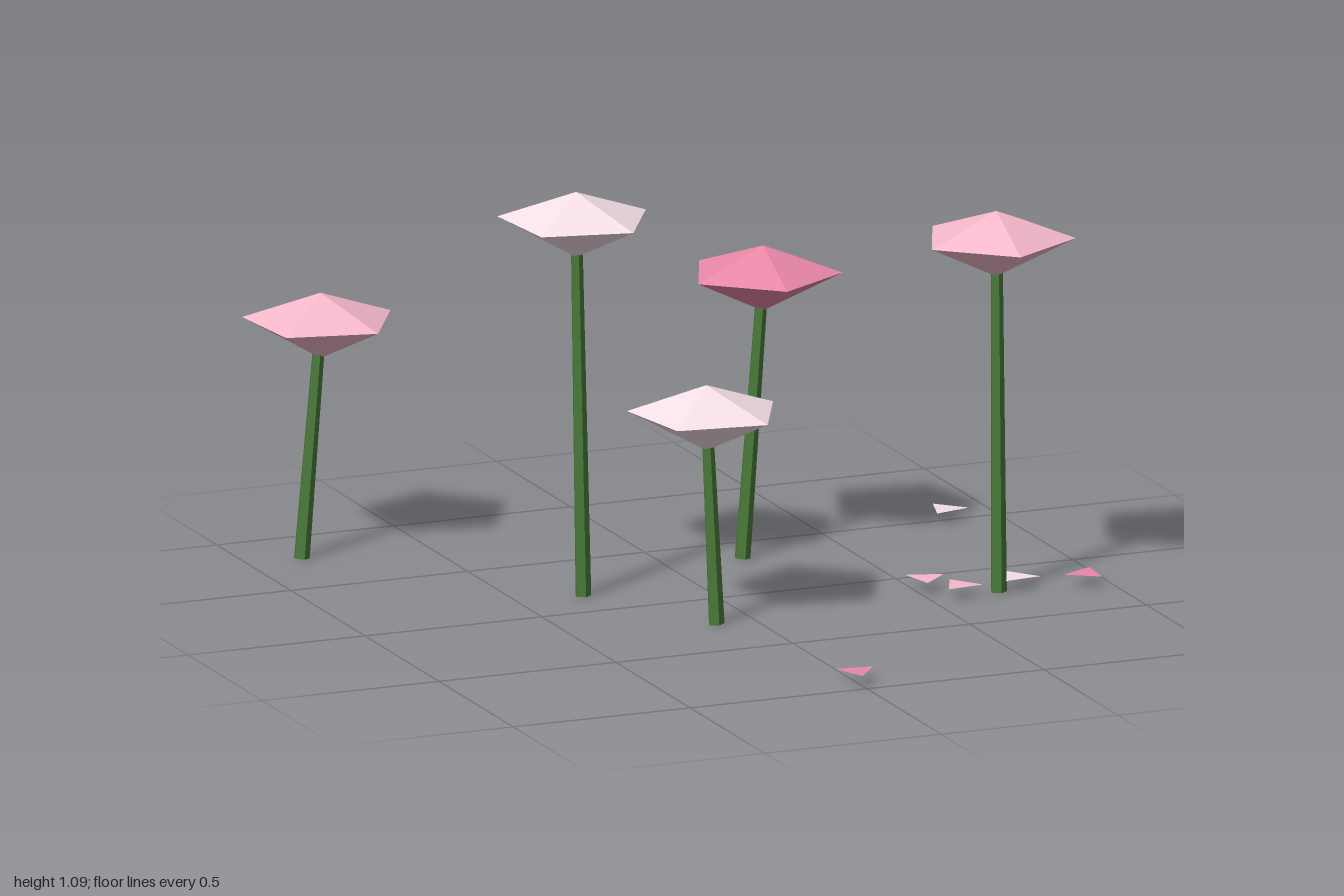
import * as THREE from 'three';

const PALE = 0xf4dfe6, PINK = 0xf4b8ca, DEEP = 0xe887a7, GREEN = 0x4a7a3a;
const rad = THREE.MathUtils.degToRad;

const mat = (color, side = THREE.FrontSide) =>
  new THREE.MeshStandardMaterial({ color, flatShading: true, side });

// Five-sided bloom: shallow dome over a deeper cup
const bloomGeometry = new THREE.LatheGeometry(
  [[0, -0.103], [0.207, 0], [0, 0.073]].map(([r, y]) => new THREE.Vector2(r, y)), 5);

// Straight stem between two points
function makeStem(from, to) {
  const dir = to.clone().sub(from);
  const stem = new THREE.Mesh(new THREE.CylinderGeometry(0.016, 0.022, dir.length(), 5), mat(GREEN));
  stem.name = 'stem';
  stem.position.copy(from).addScaledVector(dir, 0.5);
  stem.quaternion.setFromUnitVectors(new THREE.Vector3(0, 1, 0), dir.normalize());
  return stem;
}

function makeFlower({ base, head, turn, color }) {
  const flower = new THREE.Group();
  flower.name = 'flower';
  const centre = new THREE.Vector3(...head);
  const bloom = new THREE.Mesh(bloomGeometry, mat(color));
  bloom.name = 'bloom';
  bloom.position.copy(centre);
  bloom.rotation.y = rad(turn);
  const foot = new THREE.Vector3(base[0], 0.002, base[1]);
  flower.add(bloom, makeStem(foot, centre));
  return flower;
}

// Fallen petal: one flat triangle lying just above the ground
function makePetal([x, z, angle, color]) {
  const geometry = new THREE.CircleGeometry(0.059, 3).rotateX(-Math.PI / 2);
  const petal = new THREE.Mesh(geometry, mat(color, THREE.DoubleSide));
  petal.name = 'fallenPetal';
  petal.position.set(x, 0.033, z);
  petal.rotation.y = -rad(angle);
  return petal;
}

export function createModel() {
  const group = new THREE.Group();
  group.name = 'flowerPatch';

  const flowers = [
    { base: [-0.85, -0.787], head: [-0.79, 0.635, -0.8], turn: 95.6, color: PINK },
    { base: [-0.32, -0.153], head: [-0.335, 1.016, -0.164], turn: 95.6, color: PALE },
    { base: [-0.11, 0.245], head: [-0.135, 0.573, 0.238], turn: 100, color: PALE },
    { base: [0.21, -0.344], head: [0.273, 0.763, -0.353], turn: 139, color: DEEP },
    { base: [0.695, 0.228], head: [0.693, 0.953, 0.219], turn: 139, color: PINK },
  ];
  flowers.forEach((f) => group.add(makeFlower(f)));

  // x, z, angle of one corner, colour
  const petals = [
    [0.85, -0.494, -104, PALE],
    [0.931, 0.249, 184, DEEP],
    [0, 0.932, 98, DEEP],
    [0.53, 0.13, -133, PINK],
    [0.586, 0.232, 144, PINK],
    [0.756, 0.212, 144, PALE],
  ];
  petals.forEach((p) => group.add(makePetal(p)));

  return group;
}
